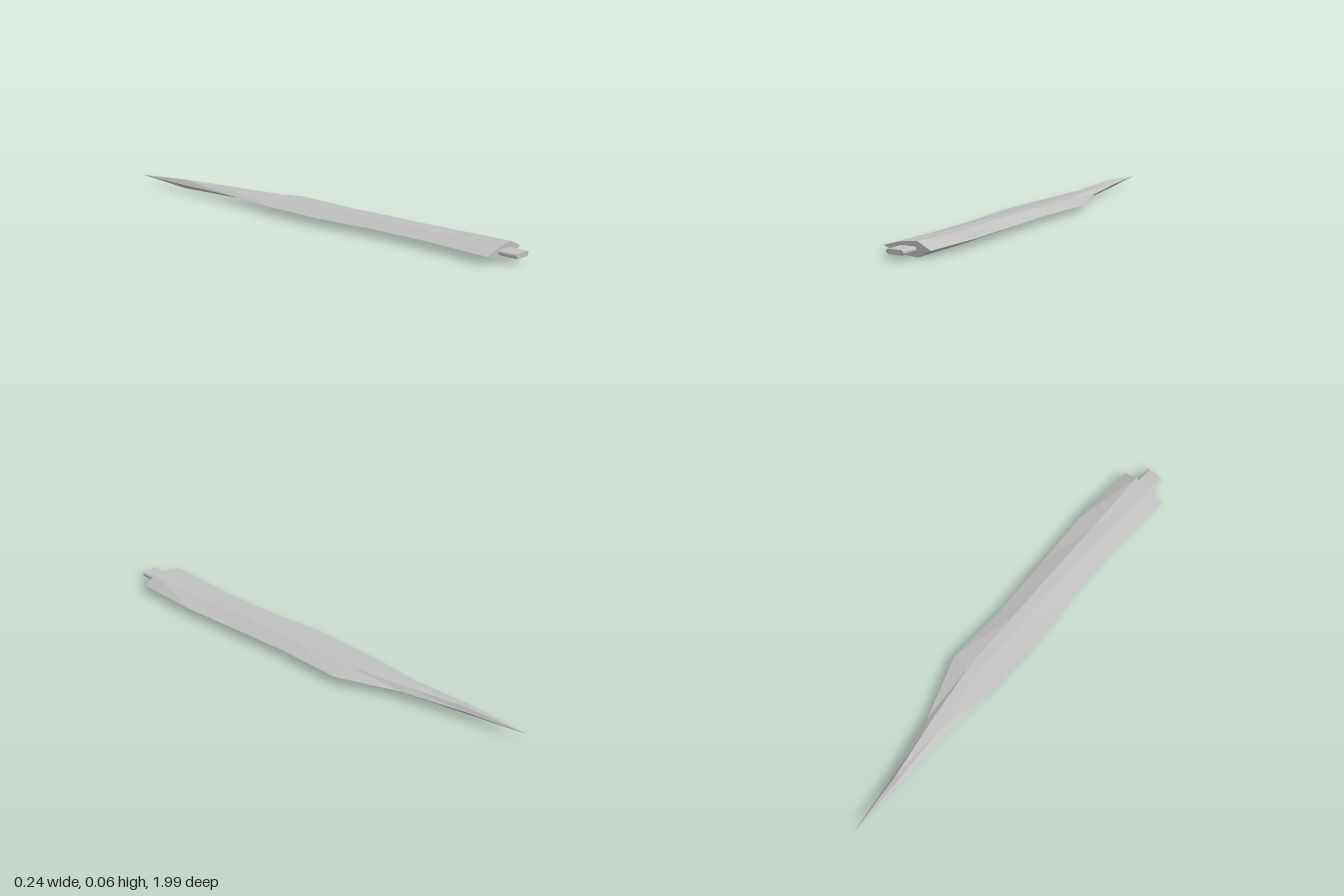
import * as THREE from 'three';

// Blade stations: z, left edge x, left ridge x, right ridge x, right edge x,
// top heights (left, right), bottom heights (right, left)
const STATIONS = [
  [0.92, -0.105, -0.03, 0.045, 0.105, 0.055, 0.064, 0.003, 0.01],
  [0.63, -0.09, -0.02, 0.042, 0.117, 0.051, 0.053, 0.002, 0.011],
  [0.36, -0.095, -0.015, 0.037, 0.105, 0.055, 0.058, 0.007, 0.012],
  [0.1, -0.12, -0.015, 0.032, 0.095, 0.053, 0.056, 0.012, 0.014],
  [-0.18, -0.115, -0.02, 0.025, 0.105, 0.05, 0.052, 0.017, 0.017],
  [-0.45, -0.09, -0.06, -0.012, 0.01, 0.047, 0.05, 0.018, 0.019],
  [-0.72, -0.095, -0.078, -0.058, -0.045, 0.053, 0.049, 0.018, 0.015],
  [-0.99, -0.083, -0.083, -0.083, -0.083, 0.034, 0.034, 0.034, 0.034],
];
const EDGE_Y = 0.034;

// Six-sided section: left edge, two top ridges, right edge, two bottom ridges
function section([z, l, rl, rr, r, tl, tr, br, bl]) {
  return [[l, EDGE_Y, z], [rl, tl, z], [rr, tr, z], [r, EDGE_Y, z], [rr, br, z], [rl, bl, z]];
}

function bladeGeometry() {
  const rings = STATIONS.map(section);
  const n = 6;
  const pos = [];
  const tri = (a, b, c) => pos.push(...a, ...b, ...c);
  for (let i = 0; i < rings.length - 1; i++) {
    for (let j = 0; j < n; j++) {
      const k = (j + 1) % n;
      tri(rings[i][j], rings[i][k], rings[i + 1][k]);
      // the last band closes to a point
      if (i < rings.length - 2) tri(rings[i][j], rings[i + 1][k], rings[i + 1][j]);
    }
  }
  // flat butt end
  for (let j = 1; j < n - 1; j++) tri(rings[0][0], rings[0][j + 1], rings[0][j]);
  const g = new THREE.BufferGeometry();
  g.setAttribute('position', new THREE.Float32BufferAttribute(pos, 3));
  g.computeVertexNormals();
  return g;
}

// Slot-shaped peg with rounded sides
function tangGeometry() {
  const r = 0.01, x0 = -0.023, x1 = 0.033, y = 0.033;
  const s = new THREE.Shape();
  s.moveTo(x0, y - r);
  s.lineTo(x1, y - r);
  s.absarc(x1, y, r, -Math.PI / 2, Math.PI / 2, false);
  s.lineTo(x0, y + r);
  s.absarc(x0, y, r, Math.PI / 2, Math.PI * 1.5, false);
  const g = new THREE.ExtrudeGeometry(s, { depth: 0.09, bevelEnabled: false, curveSegments: 6 });
  g.translate(0, 0, 0.91);
  return g;
}

export function createModel() {
  const group = new THREE.Group();
  const steel = new THREE.MeshStandardMaterial({ color: 0xc0c0c0 });
  steel.name = 'paleSteel';

  const blade = new THREE.Mesh(bladeGeometry(), steel);
  blade.name = 'blade';
  const tang = new THREE.Mesh(tangGeometry(), steel);
  tang.name = 'tang';
  group.add(blade, tang);
  return group;
}
